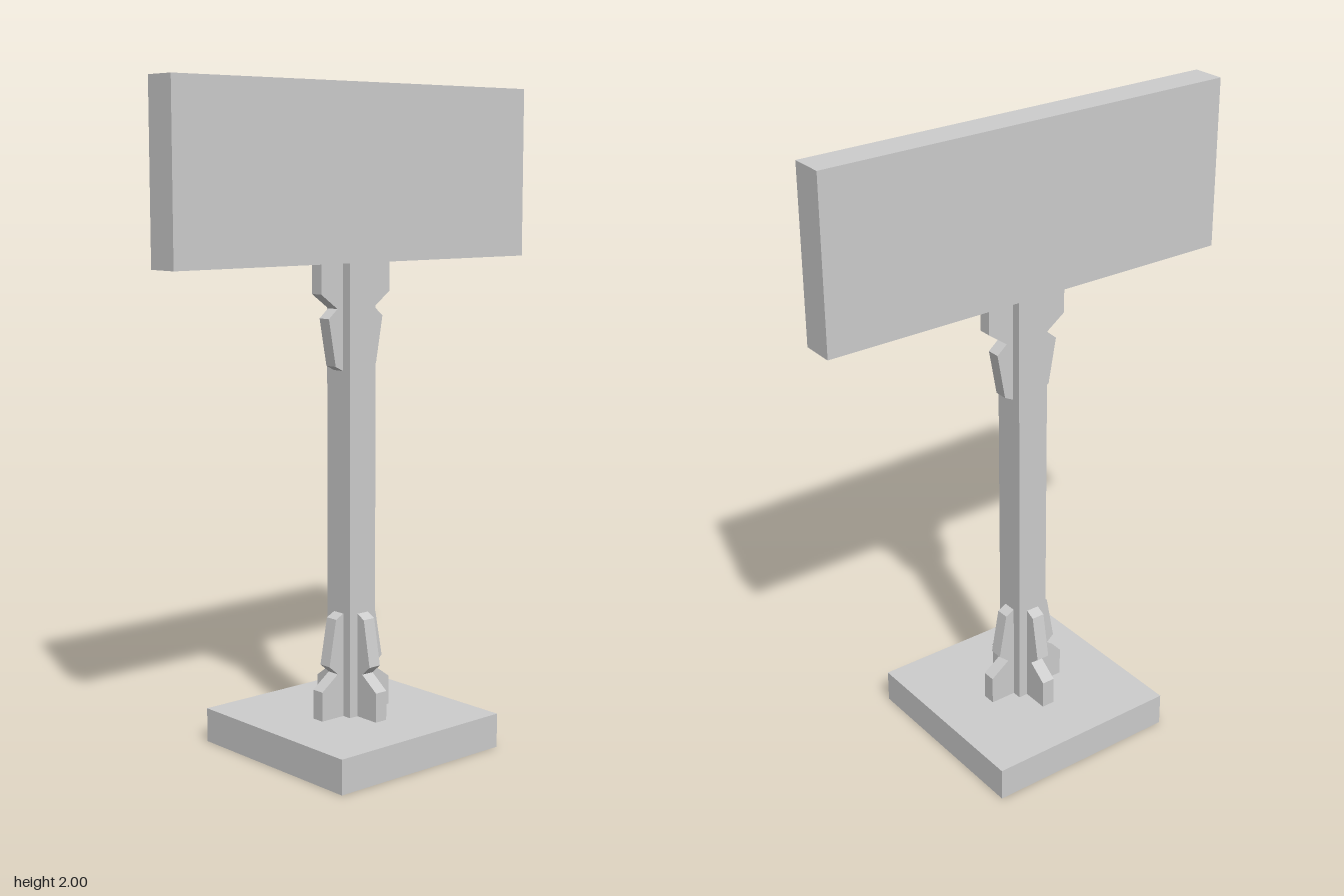
import * as THREE from 'three';

export function createModel() {
  const group = new THREE.Group();
  const grey = new THREE.MeshStandardMaterial({ color: 0xcccccc });
  grey.name = 'light grey';

  const add = (name, geometry, y = 0) => {
    const mesh = new THREE.Mesh(geometry, grey);
    mesh.name = name;
    mesh.position.y = y;
    group.add(mesh);
    return mesh;
  };

  // Base slab, square post and sign board
  add('base', new THREE.BoxGeometry(0.63, 0.105, 0.63), 0.0525);
  add('post', new THREE.BoxGeometry(0.102, 1.375, 0.102), 0.7925);
  add('signBoard', new THREE.BoxGeometry(1.362, 0.522, 0.104), 1.739);

  // Notched bracket profile: distance from the post axis, height above its foot
  const profile = [
    [0.04, 0], [0.135, 0], [0.135, 0.09], [0.073, 0.135],
    [0.106, 0.163], [0.08, 0.305], [0.05, 0.32], [0.04, 0.32],
  ].map(([x, y]) => new THREE.Vector2(x, y));
  const thickness = 0.042;
  const bracket = new THREE.ExtrudeGeometry(new THREE.Shape(profile), {
    depth: thickness, bevelEnabled: false,
  }).translate(0, 0, -thickness / 2);

  // Four brackets around the foot of the post
  for (let i = 0; i < 4; i++) {
    add('baseBracket', bracket, 0.105).rotation.y = i * Math.PI / 2;
  }
  // Two inverted brackets under the sign board
  for (let i = 0; i < 2; i++) {
    add('boardBracket', bracket, 1.479).rotation.set(Math.PI, i * Math.PI, 0);
  }
  return group;
}
